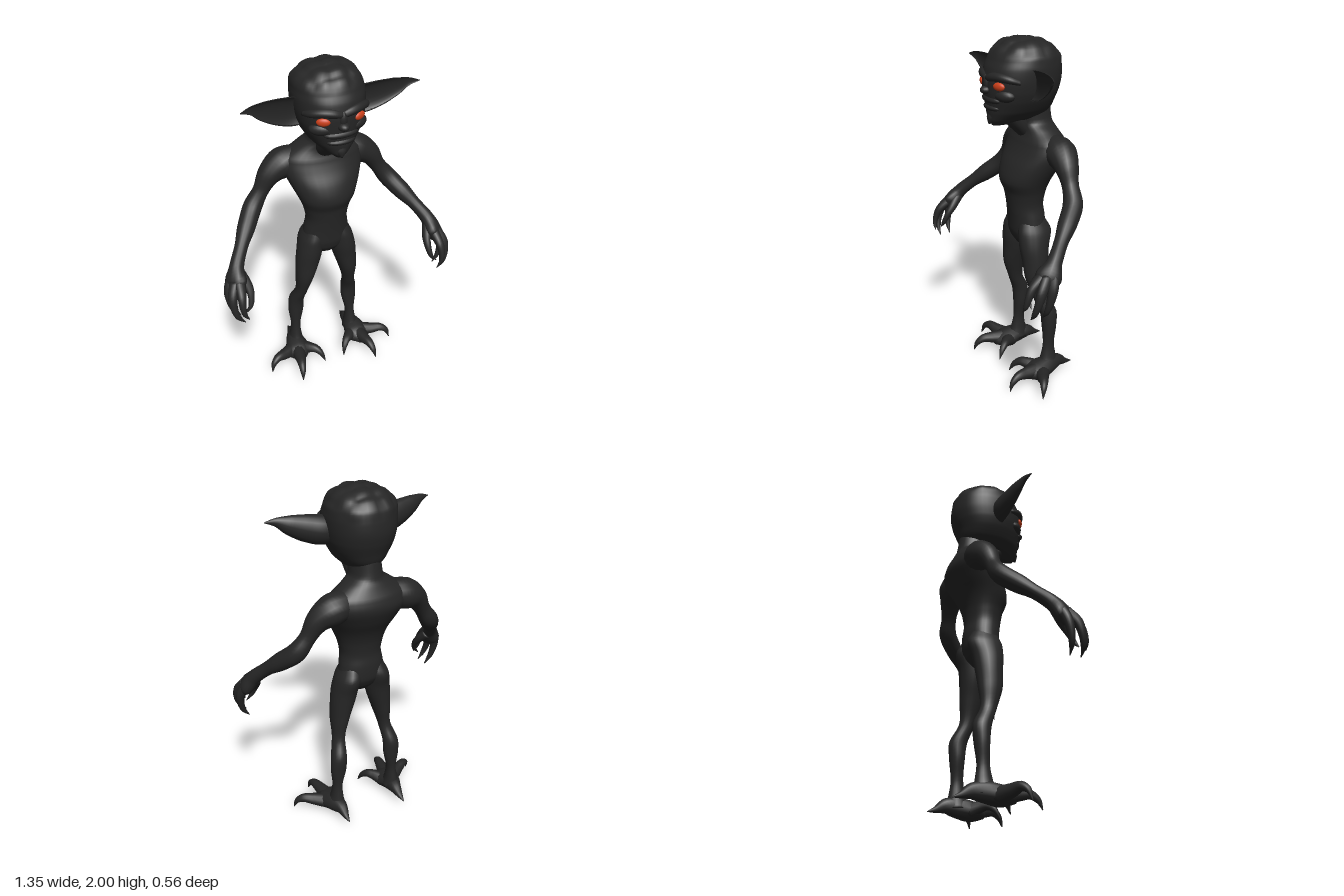
import * as THREE from 'three';

const skin = new THREE.MeshStandardMaterial({ color: 0x262626 });
skin.name = 'darkSkin';
const eyeGlow = new THREE.MeshStandardMaterial({ color: 0xcc401a });
eyeGlow.name = 'orangeEye';

const V = (x, y, z) => new THREE.Vector3(x, y, z);
const curve = (pts) => new THREE.CatmullRomCurve3(pts);

// Smooth closed skin over elliptical sections [x, y, z, radiusA, radiusB].
// level: sections stay horizontal (A along x, B along z); power: squareness.
function loft(name, sections, { level = false, sides = 16, steps = 5, power = 2, warp } = {}) {
  const path = curve(sections.map(([x, y, z]) => V(x, y, z)));
  const radii = curve(sections.map(([, , , a, b = a], i) => V(a, b, i * 0.01)));
  const first = path.points[0], last = path.points.at(-1);
  const span = last.clone().sub(first);
  const side = span.clone().cross(V(0, 1, 0)).normalize();
  const rows = (sections.length - 1) * steps;
  const pos = [], index = [];
  const bend = (v) => Math.sign(v) * Math.abs(v) ** (2 / power);
  for (let i = 0; i <= rows; i++) {
    const c = path.getPoint(i / rows), r = radii.getPoint(i / rows);
    const t = level ? V(0, Math.sign(span.y), 0) : path.getTangent(i / rows);
    const u = level ? V(1, 0, 0) : side.clone().addScaledVector(t, -side.dot(t)).normalize();
    const v = t.clone().cross(u);
    for (let j = 0; j < sides; j++) {
      const ang = (j / sides) * Math.PI * 2;
      const p = c.clone()
        .addScaledVector(u, Math.max(r.x, 0.001) * bend(Math.cos(ang)))
        .addScaledVector(v, Math.max(r.y, 0.001) * bend(Math.sin(ang)));
      if (warp) warp(p, c);
      pos.push(p.x, p.y, p.z);
      if (i < rows) {
        const k = (j + 1) % sides, a = i * sides, b = a + sides;
        index.push(a + j, a + k, b + k, a + j, b + k, b + j);
      }
    }
  }
  // End caps
  const n = pos.length / 3;
  pos.push(first.x, first.y, first.z, last.x, last.y, last.z);
  for (let j = 0; j < sides; j++) {
    const k = (j + 1) % sides;
    index.push(n, k, j, n + 1, n - sides + j, n - sides + k);
  }
  const geo = new THREE.BufferGeometry();
  geo.setAttribute('position', new THREE.Float32BufferAttribute(pos, 3));
  geo.setIndex(index);
  geo.computeVertexNormals();
  const mesh = new THREE.Mesh(geo, skin);
  mesh.name = name;
  return mesh;
}

// Level section given as [y, front z, back z, half width]
const slab = ([y, front, back, rx], x = 0) => [x, y, (front + back) / 2, rx, (front - back) / 2];

function blob(name, material, [x, y, z], [rx, ry, rz], yaw = 0) {
  const mesh = new THREE.Mesh(new THREE.SphereGeometry(1, 18, 12), material);
  mesh.name = name;
  mesh.position.set(x, y, z);
  mesh.scale.set(rx, ry, rz);
  mesh.rotation.y = yaw;
  return mesh;
}

function makeHead() {
  const head = new THREE.Group();
  head.name = 'head';
  const skull = [
    [1.545, 0.14, 0.03, 0.025], [1.575, 0.16, -0.14, 0.075], [1.62, 0.165, -0.195, 0.122],
    [1.68, 0.17, -0.218, 0.158], [1.73, 0.175, -0.236, 0.176], [1.79, 0.175, -0.248, 0.186],
    [1.85, 0.163, -0.246, 0.188], [1.9, 0.138, -0.23, 0.177], [1.945, 0.1, -0.192, 0.145],
    [1.975, 0.055, -0.135, 0.095], [1.99, -0.02, -0.05, 0.012],
  ].map((s) => slab(s));
  // Lumpy folds over the scalp
  const folds = (p) => {
    const fade = THREE.MathUtils.smoothstep(p.y + p.z * -0.1, 1.87, 1.93);
    const lump = Math.abs(Math.sin(p.x * 34 + 0.8)) * 0.6 + Math.abs(Math.sin(p.z * 38)) * 0.4;
    const out = p.clone().sub(V(0, 1.78, -0.04)).normalize();
    p.addScaledVector(out, fade * (lump * 0.014 - 0.001));
  };
  head.add(loft('skull', skull, { level: true, sides: 48, steps: 6, power: 2.2, warp: folds }));
  head.add(blob('nose', skin, [0, 1.738, 0.172], [0.03, 0.022, 0.036]));
  head.add(blob('noseBridge', skin, [0, 1.775, 0.162], [0.024, 0.045, 0.025]));
  head.add(blob('upperLip', skin, [0, 1.688, 0.138], [0.095, 0.026, 0.042]));
  head.add(blob('lowerLip', skin, [0, 1.645, 0.134], [0.08, 0.022, 0.042]));
  head.add(loft('chinTuft', [
    [0, 1.625, 0.12, 0.05, 0.04], [0, 1.59, 0.135, 0.035, 0.034], [0, 1.555, 0.155, 0.006, 0.008],
  ], { level: true }));
  for (const s of [1, -1]) {
    const name = s > 0 ? 'left' : 'right';
    head.add(blob(name + 'Eye', eyeGlow, [s * 0.097, 1.768, 0.148], [0.036, 0.022, 0.015], s * 0.45));
    head.add(blob(name + 'Cheek', skin, [s * 0.1, 1.718, 0.118], [0.062, 0.034, 0.034], s * 0.5));
    head.add(loft(name + 'Brow', [
      [s * 0.005, 1.798, 0.162, 0.02], [s * 0.05, 1.81, 0.16, 0.023],
      [s * 0.1, 1.814, 0.143, 0.023], [s * 0.145, 1.806, 0.11, 0.02], [s * 0.17, 1.79, 0.06, 0.012],
    ], { sides: 12 }));
    // Long pointed ear, hollow towards the front
    head.add(loft(name + 'Ear', [
      [s * 0.14, 1.772, 0.0, 0.065, 0.075], [s * 0.2, 1.778, 0.008, 0.067, 0.078],
      [s * 0.28, 1.797, 0.018, 0.054, 0.07], [s * 0.36, 1.822, 0.028, 0.037, 0.05],
      [s * 0.42, 1.842, 0.037, 0.018, 0.024], [s * 0.48, 1.845, 0.05, 0.002, 0.002],
    ], { sides: 20, warp: (p, c) => { if (p.z > c.z) p.z = c.z - (p.z - c.z) * 0.45; } }));
  }
  return head;
}

function makeArm(s) {
  const arm = new THREE.Group();
  arm.name = s > 0 ? 'leftArm' : 'rightArm';
  const add = (name, pts, opt) =>
    arm.add(loft(name, pts.map(([x, ...rest]) => [s * x, ...rest]), opt));
  add('armAndPalm', [
    [0.06, 1.425, -0.14, 0.06], [0.15, 1.415, -0.15, 0.08], [0.22, 1.4, -0.155, 0.086],
    [0.295, 1.355, -0.145, 0.066], [0.355, 1.265, -0.135, 0.045], [0.41, 1.187, -0.118, 0.053],
    [0.475, 1.11, -0.045, 0.05], [0.53, 1.045, 0.025, 0.037], [0.58, 0.975, 0.09, 0.04],
    [0.602, 0.915, 0.135, 0.068, 0.044], [0.605, 0.865, 0.165, 0.04, 0.025],
  ]);
  add('outerFinger', [
    [0.615, 0.93, 0.115, 0.032], [0.647, 0.865, 0.135, 0.027], [0.65, 0.8, 0.15, 0.021],
    [0.635, 0.74, 0.16, 0.015], [0.6, 0.69, 0.165, 0.002],
  ], { sides: 10 });
  add('middleFinger', [
    [0.61, 0.92, 0.15, 0.032], [0.642, 0.86, 0.195, 0.027], [0.646, 0.8, 0.215, 0.021],
    [0.63, 0.74, 0.228, 0.015], [0.595, 0.692, 0.23, 0.002],
  ], { sides: 10 });
  add('innerFinger', [
    [0.59, 0.92, 0.16, 0.032], [0.6, 0.87, 0.225, 0.025], [0.605, 0.82, 0.25, 0.019],
    [0.6, 0.775, 0.262, 0.013], [0.58, 0.74, 0.268, 0.002],
  ], { sides: 10 });
  add('thumb', [
    [0.575, 0.945, 0.11, 0.032], [0.547, 0.89, 0.16, 0.025], [0.542, 0.845, 0.195, 0.019],
    [0.555, 0.79, 0.22, 0.013], [0.59, 0.75, 0.225, 0.002],
  ], { sides: 10 });
  return arm;
}

function makeLeg(s) {
  const leg = new THREE.Group();
  leg.name = s > 0 ? 'leftLeg' : 'rightLeg';
  const shin = [
    [0.065, 1.04, -0.02, -0.11, 0.03], [0.075, 0.98, 0.01, -0.15, 0.055],
    [0.09, 0.92, 0.026, -0.174, 0.069], [0.104, 0.84, 0.025, -0.152, 0.074],
    [0.118, 0.76, 0.015, -0.14, 0.07], [0.138, 0.65, 0.005, -0.13, 0.054],
    [0.155, 0.53, -0.035, -0.125, 0.037], [0.175, 0.43, -0.072, -0.172, 0.046],
    [0.18, 0.34, -0.083, -0.168, 0.047], [0.187, 0.22, -0.086, -0.155, 0.029],
    [0.19, 0.14, -0.07, -0.165, 0.036], [0.195, 0.07, -0.04, -0.18, 0.055],
  ].map(([x, ...rest]) => slab(rest, s * x));
  leg.add(loft('thighAndShin', shin, { level: true, sides: 20 }));
  const add = (name, pts) =>
    leg.add(loft(name, pts.map(([x, ...rest]) => [s * x, ...rest]), { sides: 12 }));
  add('footAndHeelSpur', [
    [0.21, 0.06, 0.045, 0.025], [0.205, 0.067, -0.03, 0.08, 0.054],
    [0.2, 0.08, -0.11, 0.058, 0.055], [0.19, 0.082, -0.18, 0.036, 0.042],
    [0.19, 0.06, -0.235, 0.018], [0.19, 0.047, -0.28, 0.002],
  ]);
  add('outerToe', [
    [0.23, 0.065, -0.06, 0.045], [0.3, 0.077, -0.02, 0.036], [0.355, 0.088, 0.005, 0.026],
    [0.39, 0.068, 0.025, 0.017], [0.408, 0.014, 0.04, 0.002],
  ]);
  add('middleToe', [
    [0.21, 0.07, -0.03, 0.048], [0.222, 0.08, 0.05, 0.035], [0.234, 0.082, 0.11, 0.025],
    [0.243, 0.055, 0.15, 0.016], [0.25, 0.008, 0.17, 0.002],
  ]);
  add('innerToe', [
    [0.175, 0.065, -0.05, 0.045], [0.135, 0.083, -0.005, 0.033], [0.105, 0.086, 0.025, 0.025],
    [0.08, 0.062, 0.055, 0.016], [0.064, 0.014, 0.08, 0.002],
  ]);
  return leg;
}

export function createModel() {
  const model = new THREE.Group();
  model.name = 'goblin';
  const trunk = [
    [0.83, -0.015, -0.1, 0.06], [0.87, 0.012, -0.135, 0.115], [0.92, 0.026, -0.16, 0.14],
    [1.0, 0.033, -0.163, 0.13], [1.07, 0.042, -0.155, 0.12], [1.15, 0.055, -0.165, 0.135],
    [1.22, 0.08, -0.19, 0.163], [1.31, 0.058, -0.24, 0.203], [1.39, 0.015, -0.27, 0.232],
    [1.45, -0.01, -0.258, 0.222], [1.505, -0.025, -0.23, 0.148], [1.55, -0.01, -0.212, 0.088],
    [1.64, 0.02, -0.2, 0.08],
  ].map((s) => slab(s));
  model.add(loft('torsoAndNeck', trunk, { level: true, sides: 32, power: 2.1 }));
  model.add(loft('throat', [
    [0, 1.44, -0.09, 0.05, 0.04], [0, 1.52, -0.03, 0.065, 0.065], [0, 1.6, 0.03, 0.07, 0.09],
  ], { level: true }));
  model.add(makeHead());
  for (const s of [1, -1]) model.add(makeArm(s), makeLeg(s));
  return model;
}
